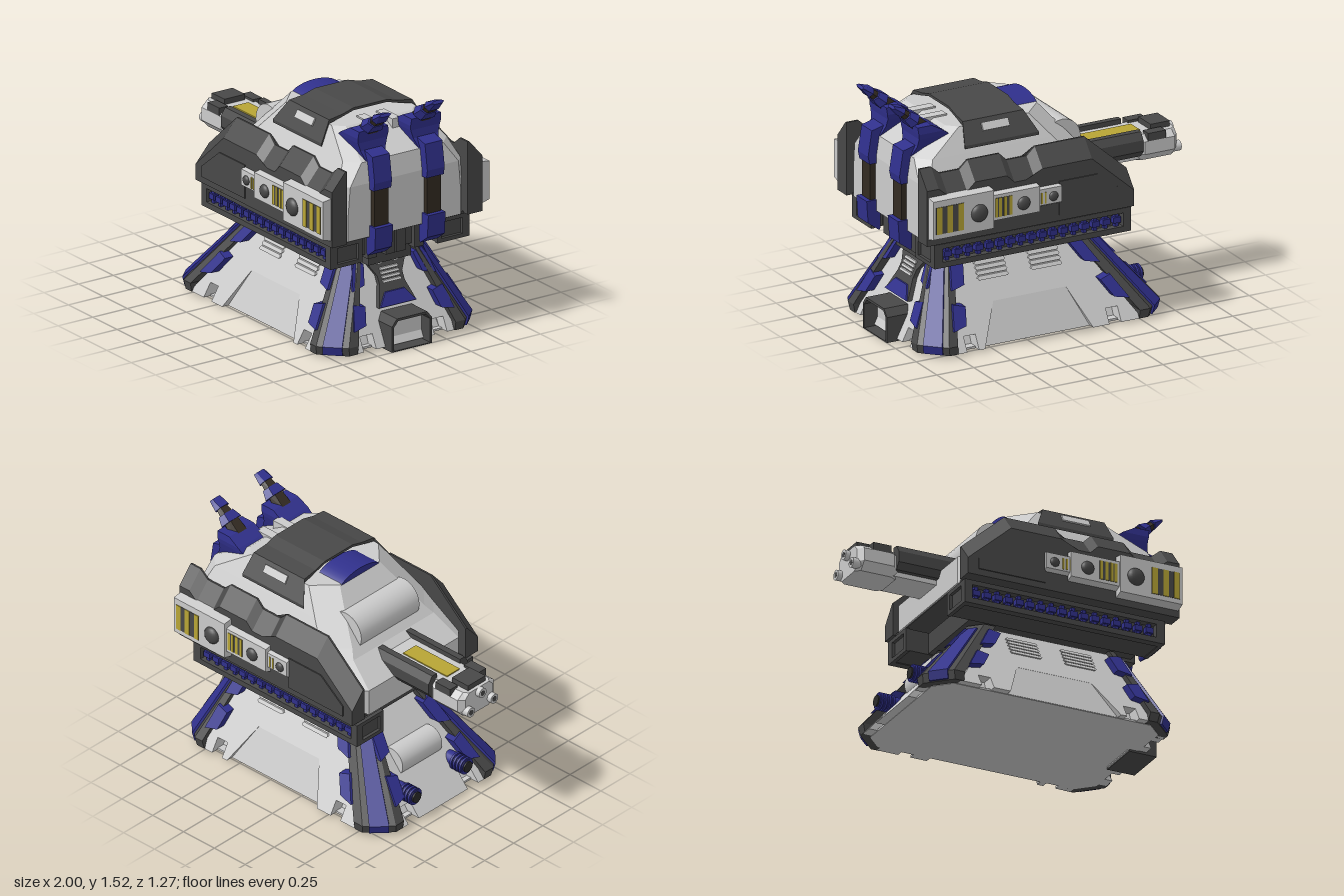
import * as THREE from 'three';

const mats = {};
for (const [k, c] of Object.entries({ grey: 0xcccccc, dark: 0x484848, black: 0x2a2a2a, blue: 0x30308c, brown: 0x332b22, yellow: 0xb8a535 })) {
  mats[k] = new THREE.MeshStandardMaterial();
  mats[k].color.set(c);
}

// Closed skin through rings of [x, y, z]; turned outward by its signed volume
function loft(rings) {
  const n = rings[0].length, pos = [];
  const tri = (a, b, c) => pos.push(...a, ...b, ...c);
  for (let r = 0; r < rings.length - 1; r++) for (let i = 0; i < n; i++) {
    const j = (i + 1) % n, A = rings[r], B = rings[r + 1];
    tri(A[i], B[i], A[j]); tri(A[j], B[i], B[j]);
  }
  const last = rings[rings.length - 1];
  for (let i = 1; i < n - 1; i++) { tri(rings[0][0], rings[0][i], rings[0][i + 1]); tri(last[0], last[i + 1], last[i]); }
  const g = new THREE.BufferGeometry();
  g.setAttribute('position', new THREE.Float32BufferAttribute(pos, 3));
  let vol = 0;
  const v = k => new THREE.Vector3().fromArray(pos, k * 3);
  for (let i = 0; i < pos.length / 3; i += 3) vol += v(i).dot(v(i + 1).cross(v(i + 2)));
  if (vol < 0) flip(g);
  g.computeVertexNormals();
  return g;
}
function flip(g) {
  for (const a of Object.values(g.attributes)) for (let i = 0; i < a.count; i += 3) for (let k = 0; k < a.itemSize; k++) {
    const t = a.getComponent(i, k);
    a.setComponent(i, k, a.getComponent(i + 2, k));
    a.setComponent(i + 2, k, t);
  }
  return g;
}
const box = (x0, x1, y0, y1, z0, z1) => new THREE.BoxGeometry(x1 - x0, y1 - y0, z1 - z0).translate((x0 + x1) / 2, (y0 + y1) / 2, (z0 + z1) / 2);
const cylX = (r, x0, x1, y, z, n = 20) => new THREE.CylinderGeometry(r, r, x1 - x0, n).rotateZ(-Math.PI / 2).translate((x0 + x1) / 2, y, z);
const cylZ = (r, z0, z1, x, y, n = 28) => new THREE.CylinderGeometry(r, r, z1 - z0, n).rotateX(Math.PI / 2).translate(x, y, (z0 + z1) / 2);
function extrude(pts, depth, hole) {
  const s = new THREE.Shape(pts.map(p => new THREE.Vector2(...p)));
  if (hole) s.holes.push(new THREE.Path(hole.map(p => new THREE.Vector2(...p))));
  return new THREE.ExtrudeGeometry(s, { depth, bevelEnabled: false });
}
const rect = (x0, x1, y0, y1) => [[x0, y0], [x1, y0], [x1, y1], [x0, y1]];

// Sloping faces of the base
const zFace = y => 0.545 - 0.58 * (y - 0.02);
const recessFace = y => 0.505 - 0.4 * (y - 0.02);
const rightFace = y => 0.93 - 0.5 * (y - 0.02);
const leftFace = y => 0.675 - 0.86 * (y - 0.02);
// Extruded outline sheared on to a slope, its outer skin standing `out` proud
function slab(pts, depth, out, face, turn = 0) {
  const g = extrude(pts, depth), p = g.attributes.position;
  for (let i = 0; i < p.count; i++) p.setZ(i, p.getZ(i) - depth + out + face(p.getY(i)));
  g.rotateY(turn);
  g.computeVertexNormals();
  return g;
}

export function createModel() {
  const model = new THREE.Group();
  const add = (name, g, mat) => {
    const m = new THREE.Mesh(g, mats[mat]);
    m.name = name;
    model.add(m);
  };
  const both = (name, g, mat) => { // the part and its mirror image in z
    add(name, g, mat);
    const src = g.index ? g.toNonIndexed() : g.clone();
    add(name, flip(src.applyMatrix4(new THREE.Matrix4().makeScale(1, 1, -1))), mat);
  };
  const R = Math.PI / 2;

  // ---- Base: core, floor and notched wall slabs
  const octagon = (y, x0, x1, z, c) => [[x0 + c, y, z], [x1 - c, y, z], [x1, y, z - c], [x1, y, c - z], [x1 - c, y, -z], [x0 + c, y, -z], [x0, y, c - z], [x0, y, z - c]];
  add('baseFloor', loft([octagon(0.012, -0.62, 0.88, 0.5, 0.1), octagon(0.025, -0.62, 0.88, 0.5, 0.1)]), 'grey');
  add('baseCore', loft([octagon(0.02, -0.59, 0.85, 0.45, 0.15), octagon(0.55, -0.2, 0.66, 0.235, 0.05)]), 'grey');
  both('baseWall', slab([[-0.5, 0.015], [-0.36, 0.015], [-0.36, 0.1], [-0.28, 0.1], [-0.28, 0.015], [-0.17, 0.015], [-0.06, 0.25], [0.43, 0.25], [0.56, 0.015],
    [0.6, 0.015], [0.6, 0.1], [0.68, 0.1], [0.68, 0.015], [0.78, 0.015], [0.64, 0.55], [-0.15, 0.55]], 0.09, 0, zFace), 'grey');
  both('wallRecess', slab([[-0.17, 0.015], [0.56, 0.015], [0.43, 0.25], [-0.06, 0.25]], 0.05, -0.003, recessFace), 'grey');
  const endWall = [[-0.38, 0.015], [-0.3, 0.015], [-0.3, 0.1], [-0.21, 0.1], [-0.21, 0.015], [0.21, 0.015], [0.21, 0.1], [0.3, 0.1], [0.3, 0.015], [0.38, 0.015], [0.2, 0.55], [-0.2, 0.55]];
  add('rightWall', slab(endWall, 0.09, 0, rightFace, R), 'grey');
  add('leftWall', slab(endWall, 0.09, 0, leftFace, -R), 'grey');
  for (const x of [-0.07, 0.29]) for (let i = 0; i < 5; i++) {
    const y = 0.37 + i * 0.027;
    both('baseVent', slab([[x, y + 0.01], [x + 0.01, y], [x + 0.2, y], [x + 0.21, y + 0.01], [x + 0.2, y + 0.021], [x + 0.01, y + 0.021]], 0.03, 0.012, zFace), 'grey');
  }

  // ---- Corner legs with blue strips and side pads
  for (const s of [1, -1]) {
    const levels = s > 0
      ? [[0.015, 0.94, 0.55, 0.2, 0.2, 0.14], [0.07, 0.95, 0.56, 0.2, 0.21, 0.14], [0.56, 0.73, 0.27, 0.11, 0.09, 0.075]]
      : [[0.015, -0.68, 0.55, 0.2, 0.2, 0.14], [0.07, -0.69, 0.56, 0.21, 0.21, 0.14], [0.56, -0.28, 0.27, 0.15, 0.09, 0.075]];
    both('leg', loft(levels.map(([y, X, Z, wx, wz, c]) => [[X, y, Z - wz], [X, y, Z - c], [X - s * c, y, Z], [X - s * wx, y, Z], [X - s * wx, y, Z - wz]])), 'dark');
    const stripTop = levels[2].map((v, i) => THREE.MathUtils.lerp(levels[1][i], v, 0.9));
    both('legStrip', loft([levels[0], levels[1], stripTop].map(([y, X, Z, , , c]) => {
      const a = c * 0.2, o = 0.01, i = -0.02;
      return [[o, c - a], [o, a], [i, a], [i, c - a]].map(([d, t]) => [X - s * (c - t) + s * d, y + 0.005, Z - t + d]);
    })), 'blue');
    for (const [y0, y1] of [[0.15, 0.29], [0.36, 0.51]]) {
      const pad = (edge, dir) => [[edge(y0) - dir * 0.045, y0], [edge(y0 + 0.02) + dir * 0.04, y0 + 0.02], [edge(y1 - 0.02) + dir * 0.04, y1 - 0.02], [edge(y1) - dir * 0.045, y1]];
      const order = p => THREE.ShapeUtils.isClockWise(p.map(q => new THREE.Vector2(...q))) ? p.reverse() : p;
      const edgeX = y => s > 0 ? 0.75 - 0.245 * y : -0.48 + 0.64 * y;
      both('legPad', slab(order(pad(edgeX, -s)), 0.07, 0.06, zFace), 'blue');
      both('legPad', slab(order(pad(y => s * (-0.36 + 0.29 * y), s)), 0.07, s > 0 ? 0.06 : 0.075, s > 0 ? rightFace : leftFace, s * R), 'blue');
    }
  }

  // ---- Right end of the base: doorway and vented panel
  const arch = [[-0.145, 0], [0.145, 0], [0.145, 0.16], [0.11, 0.205], [-0.11, 0.205], [-0.145, 0.16]];
  const inner = [[-0.13, 0.005], [0.13, 0.005], [0.13, 0.155], [0.1, 0.19], [-0.1, 0.19], [-0.13, 0.155]];
  add('doorFrame', extrude(arch, 0.18, inner).rotateY(R).translate(0.82, 0, 0), 'dark');
  add('door', extrude(inner, 0.1).rotateY(R).translate(0.81, 0, 0), 'grey');
  add('ventPanel', slab([[-0.135, 0.23], [0.135, 0.23], [0.09, 0.35], [0.09, 0.4], [0.14, 0.48], [-0.14, 0.48], [-0.09, 0.4], [-0.09, 0.35]], 0.06, 0.03, rightFace, R), 'dark');
  add('ventPanelTrim', slab([[-0.13, 0.235], [0.13, 0.235], [0.07, 0.31], [-0.07, 0.31]], 0.03, 0.04, rightFace, R), 'blue');
  for (let i = 0; i < 4; i++) add('ventBar', slab(rect(-0.065, 0.065, 0.36 + i * 0.023, 0.373 + i * 0.023), 0.03, 0.04, rightFace, R), 'grey');
  both('ventStud', slab(rect(0.04, 0.075, 0.465, 0.495), 0.03, 0.045, rightFace, R), 'grey');

  // ---- Left end of the base: drum and stub barrels
  add('baseDrum', cylZ(0.09, -0.17, 0.17, -0.42, 0.28), 'grey');
  both('stubBarrel', cylX(0.045, -0.665, -0.5, 0.165, 0.22), 'blue');
  for (const x of [-0.66, -0.635, -0.61, -0.585]) both('stubRib', cylX(0.055, x, x + 0.014, 0.165, 0.22), 'blue');
  both('stubCore', cylX(0.035, -0.675, -0.5, 0.165, 0.22), 'black');

  // ---- Neck and turntable
  add('neck', box(0.07, 0.41, 0.5, 0.75, -0.2, 0.2), 'dark');
  add('turntable', box(-0.3, 0.8, 0.57, 0.7, -0.28, 0.28), 'dark');
  add('neckBlock', box(0.4, 0.77, 0.48, 0.58, -0.155, 0.155), 'dark');
  for (const z of [0, 0.13]) both('neckRib', box(0.7, 0.83, 0.55, 0.73, z + 0.005, z + 0.07), 'dark');

  // ---- Side skirts with a row of blue spools
  both('skirtCore', box(-0.43, 0.855, 0.565, 0.705, 0.27, 0.455), 'dark');
  both('skirtFrame', extrude(rect(-0.45, 0.875, 0.56, 0.71), 0.05, rect(-0.4, 0.82, 0.595, 0.68).reverse()).translate(0, 0, 0.45), 'dark');
  for (let i = 0; i < 17; i++) {
    const x = -0.365 + i * 0.0715;
    both('spool', box(x - 0.012, x + 0.012, 0.595, 0.68, 0.45, 0.48), 'blue');
    both('spoolWaist', box(x - 0.025, x + 0.025, 0.62, 0.655, 0.45, 0.49), 'blue');
  }
  for (const x of [-0.45, 0.85]) both('skirtEnd', extrude(rect(-0.5, -0.27, 0.56, 0.71), 0.025, rect(-0.47, -0.3, 0.585, 0.685)).rotateY(R).translate(x, 0, 0), 'dark');

  // ---- Hull
  const hullRing = (y, x0, x1, z, c, d) => [[x0, y, z - c], [x0 + c, y, z], [x1 - d, y, z], [x1, y, z - d], [x1, y, d - z], [x1 - d, y, -z], [x0 + c, y, -z], [x0, y, c - z]];
  add('hull', loft([hullRing(0.73, -0.44, 0.92, 0.445, 0.06, 0.04), hullRing(0.9, -0.44, 0.92, 0.445, 0.06, 0.04), hullRing(1.02, -0.275, 0.92, 0.445, 0.1, 0.05),
    hullRing(1.07, -0.233, 0.92, 0.44, 0.13, 0.05), hullRing(1.2, -0.122, 0.9, 0.375, 0.13, 0.08), hullRing(1.345, 0, 0.66, 0.3, 0.13, 0.06)]), 'grey');
  add('hullUnderside', box(-0.43, 0.91, 0.724, 0.74, -0.44, 0.44), 'dark');
  add('frontDrum', cylZ(0.125, -0.25, 0.25, -0.125, 1.115), 'grey');
  add('roofDome', new THREE.CylinderGeometry(0.185, 0.185, 0.185, 32).rotateZ(-R).scale(1, 0.46, 1).translate(0.0875, 1.3, 0), 'blue');
  both('rearRib', box(0.57, 0.74, 1.25, 1.355, 0.04, 0.1), 'grey');

  // Armour plates with a notched top edge
  const edge = [[-0.165, 1.19], [0.17, 1.19], [0.225, 1.14], [0.36, 1.14], [0.41, 1.19], [0.625, 1.19], [0.68, 1.14], [0.81, 1.14], [0.87, 1.19], [0.95, 1.19]];
  const plate = (z, front, drop) => [[0.95, 0.73, z], [-0.45, 0.73, z], [-0.45, front, z], ...edge.map(([x, y]) => [x, y - drop, z])];
  both('armourPlate', loft([plate(0.435, 0.94, 0), plate(0.447, 0.94, 0), plate(0.542, 0.83, 0.11)]), 'dark');
  both('armourPanel', extrude([[-0.38, 0.77], [0.06, 0.77], [0.06, 0.98], [-0.2, 0.98], [-0.38, 0.84]], 0.008).translate(0, 0, 0.541), 'dark');

  // Side modules: x range, y range, depth, lens x and radius, bar positions and size
  for (const [x0, x1, y0, y1, z, lx, r, bars, bw, b0, b1] of [
    [0.055, 0.21, 0.84, 0.97, 0.57, 0.11, 0.03, [0.165, 0.19, 0.215], 0.01, 0.87, 0.94],
    [0.21, 0.53, 0.81, 1.0, 0.585, 0.32, 0.042, [0.41, 0.445, 0.48, 0.505], 0.018, 0.85, 0.97],
    [0.53, 0.94, 0.77, 1.04, 0.602, 0.63, 0.055, [0.755, 0.83, 0.9], 0.036, 0.82, 0.99]]) {
    both('sideModule', loft([0, 1].map(t => rect(x0, x1, y0 + t * 0.02, y1 - t * 0.01).map(([x, y]) => [x, y, t ? z : 0.53]))), 'grey');
    both('lens', new THREE.SphereGeometry(r, 20, 12).scale(1, 1, 0.6).translate(lx, 0.905, z), 'dark');
    if (r > 0.04) both('barBacking', box(bars[0] - bw * 0.6, bars[bars.length - 1] + bw * 0.6, b0, b1, z - 0.01, z + 0.002), 'dark');
    for (const x of bars) both('lightBar', box(x - bw / 2, x + bw / 2, b0, b1, z - 0.01, z + 0.005), 'yellow');
  }

  // ---- Thin roof armour draped over the hull
  const roofSide = [[0.372, 0.1, 0.6, 1.245, 0.02], [0.3, 0.165, 0.575, 1.372, 0.025], [0.2, 0.17, 0.57, 1.385, 0.016], [0.12, 0.17, 0.57, 1.408, 0.016]];
  const roofRing = ([z, x0, x1, y, t], s) => [[x0, y - t, s * z], [x1, y - t, s * z], [x1, y, s * z], [x0, y, s * z]];
  add('roofArmour', loft([...roofSide.map(p => roofRing(p, -1)), ...roofSide.map(p => roofRing(p, 1)).reverse()]), 'dark');
  both('roofWindow', box(-0.09, 0.09, -0.025, 0.025, -0.02, 0.012).rotateX(-0.515).translate(0.37, 1.325, 0.324), 'grey');

  // ---- Cannon
  add('cannonBody', box(-0.9, -0.2, 0.83, 0.985, -0.11, 0.11), 'grey');
  both('cannonRail', loft([-0.72, -0.27].map(x => [[x, 0.86, 0.1], [x, 0.86, 0.14], [x, 0.9, 0.17], [x, 0.97, 0.17], [x, 1.015, 0.14], [x, 1.015, 0.1]])), 'dark');
  add('cannonLight', box(-0.76, -0.405, 0.95, 0.992, -0.055, 0.055), 'yellow');
  add('muzzleBlock', loft([[-0.97, 0.12], [-0.94, 0.155], [-0.74, 0.155], [-0.7, 0.12]].map(([x, w]) => [[x, 0.82, -w * 0.7], [x, 0.82, w * 0.7], [x, 0.87, w], [x, 0.95, w], [x, 0.985, w * 0.7], [x, 0.985, -w * 0.7], [x, 0.95, -w], [x, 0.87, -w]])), 'grey');
  add('muzzleCap', box(-0.95, -0.82, 0.95, 1.02, -0.075, 0.075), 'dark');
  both('muzzleClamp', box(-0.88, -0.76, 0.95, 1.0, 0.09, 0.155), 'dark');
  for (const [y, z] of [[0.955, 0], [0.865, 0.1], [0.865, -0.1]]) {
    add('nozzle', cylX(0.032, -1, -0.93, y, z), 'grey');
    add('nozzleBore', cylX(0.018, -1.001, -0.95, y, z, 14), 'dark');
  }

  // ---- Rear columns with horns
  const column = (pts, w, mat, name) => both(name, extrude(pts, w).translate(0, 0, 0.19 - w / 2), mat);
  column([[0.89, 0.62], [0.9, 0.605], [0.975, 0.66], [0.985, 0.8], [0.89, 0.8]], 0.125, 'blue', 'columnFoot');
  column([[0.88, 0.78], [0.955, 0.78], [0.955, 1.06], [0.88, 1.06]], 0.1, 'brown', 'columnShaft');
  column([[0.87, 1.03], [0.965, 1.03], [0.975, 1.08], [0.95, 1.24], [0.84, 1.27], [0.8, 1.24]], 0.125, 'blue', 'columnShoulder');
  both('hornBase', loft([[1.2, 0.76, 0.9, 0.12, 0.26], [1.26, 0.69, 0.87, 0.1, 0.28], [1.31, 0.66, 0.865, 0.085, 0.295], [1.34, 0.7, 0.87, 0.08, 0.3], [1.385, 0.78, 0.875, 0.085, 0.295]]
    .map(([y, x0, x1, z0, z1]) => [[x0, y, z0], [x1, y, z0], [x1, y, z1], [x0, y, z1]])), 'blue');
  // Horn segments: start, end, half thickness and half width at each
  for (const [x0, y0, x1, y1, t0, w0, t1, w1, mat] of [[0.8, 1.34, 0.875, 1.42, 0.05, 0.06, 0.035, 0.05, 'brown'], [0.86, 1.405, 0.905, 1.442, 0.045, 0.085, 0.032, 0.062, 'blue'],
    [0.89, 1.43, 0.955, 1.482, 0.03, 0.05, 0.02, 0.04, 'brown'], [0.935, 1.468, 0.995, 1.508, 0.03, 0.058, 0.01, 0.044, 'blue']]) {
    const len = Math.hypot(x1 - x0, y1 - y0), nx = (y0 - y1) / len, ny = (x1 - x0) / len;
    both('hornSegment', loft([[x0, y0, t0, w0], [x1, y1, t1, w1]].map(([x, y, t, w]) =>
      [[t, -w * 0.6], [t, w * 0.6], [0, w], [-t, w * 0.6], [-t, -w * 0.6], [0, -w]].map(([a, b]) => [x + nx * a, y + ny * a, 0.19 + b]))), mat);
  }
  return model;
}
